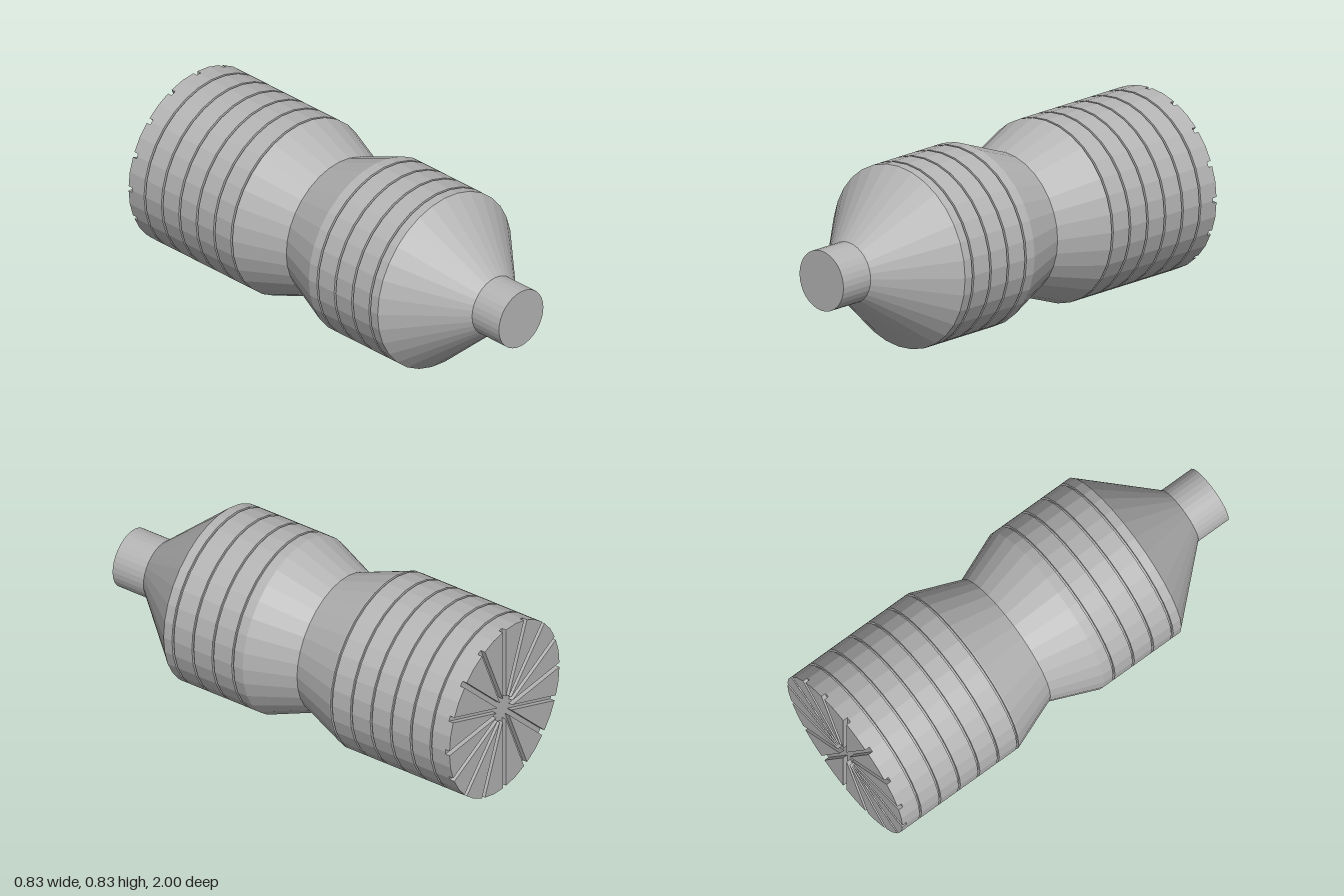
import * as THREE from 'three';

const R = 0.416, SIDES = 32;
const GROOVE_DEPTH = 0.012, GROOVE_HALF = 0.005;
const SLOT_HALF = 0.012, SLOT_DEPTH = 0.022, SLOTS = 16;

// Straight-walled band from z0 to z1 with ring grooves cut into it
function groovedBand(z0, z1, grooves) {
  const pts = [[R, z0]];
  for (const z of grooves) {
    pts.push([R, z - GROOVE_HALF], [R - GROOVE_DEPTH, z - GROOVE_HALF],
      [R - GROOVE_DEPTH, z + GROOVE_HALF], [R, z + GROOVE_HALF]);
  }
  pts.push([R, z1]);
  return pts;
}

// Faceted surface turned around the z axis from [radius, z] points
function turned(name, profile, material) {
  const geo = new THREE.LatheGeometry(profile.map(([r, z]) => new THREE.Vector2(r, z)), SIDES);
  geo.rotateX(Math.PI / 2);
  const mesh = new THREE.Mesh(geo, material);
  mesh.name = name;
  return mesh;
}

export function createModel() {
  const grey = new THREE.MeshStandardMaterial({ color: 0xb4b4b4, flatShading: true });
  grey.name = 'grey';

  const model = new THREE.Group();
  model.name = 'groovedBottle';
  const body = new THREE.Group();
  body.name = 'body';
  body.position.y = R;
  model.add(body);

  // Evenly spaced grip grooves, listed from back to front
  const rearGrooves = [0, 1, 2, 3, 4, 5].map(i => -0.9 + i * 0.1065);
  const frontGrooves = [0, 1, 2, 3].map(i => 0.161 + i * 0.1065);

  const floor = -1 + SLOT_DEPTH;
  body.add(turned('rearBarrel', [[0, floor], ...groovedBand(floor, -0.357, rearGrooves)], grey));
  body.add(turned('waist', [[R, -0.357], [0.326, -0.12], [R, 0.107]], grey));
  body.add(turned('frontBarrel', groovedBand(0.107, 0.53, frontGrooves), grey));
  body.add(turned('shoulder', [[R, 0.53], [0.138, 0.835]], grey));
  body.add(turned('neck', [[0.138, 0.835], [0.138, 1], [0, 1]], grey));

  // Raised wedges on the base, leaving radial slots that meet in a sunken hub
  const step = (2 * Math.PI) / SLOTS, half = step / 2;
  const inner = SLOT_HALF / Math.sin(half);
  const edgeX = R - SLOT_HALF * Math.tan(half / 2);
  const at = (r, a) => new THREE.Vector2(r * Math.cos(a), r * Math.sin(a));
  const edgeR = Math.hypot(edgeX, SLOT_HALF), edgeA = Math.atan2(SLOT_HALF, edgeX);
  const wedge = new THREE.Shape([
    at(inner, half), at(edgeR, edgeA), at(R, half), at(edgeR, step - edgeA),
  ]);
  const wedgeGeo = new THREE.ExtrudeGeometry(wedge, { depth: SLOT_DEPTH, bevelEnabled: false });
  const base = new THREE.Group();
  base.name = 'slottedBase';
  base.position.z = -1;
  for (let i = 0; i < SLOTS; i++) {
    const mesh = new THREE.Mesh(wedgeGeo, grey);
    mesh.name = 'baseWedge';
    mesh.rotation.z = i * step;
    base.add(mesh);
  }
  body.add(base);

  return model;
}
